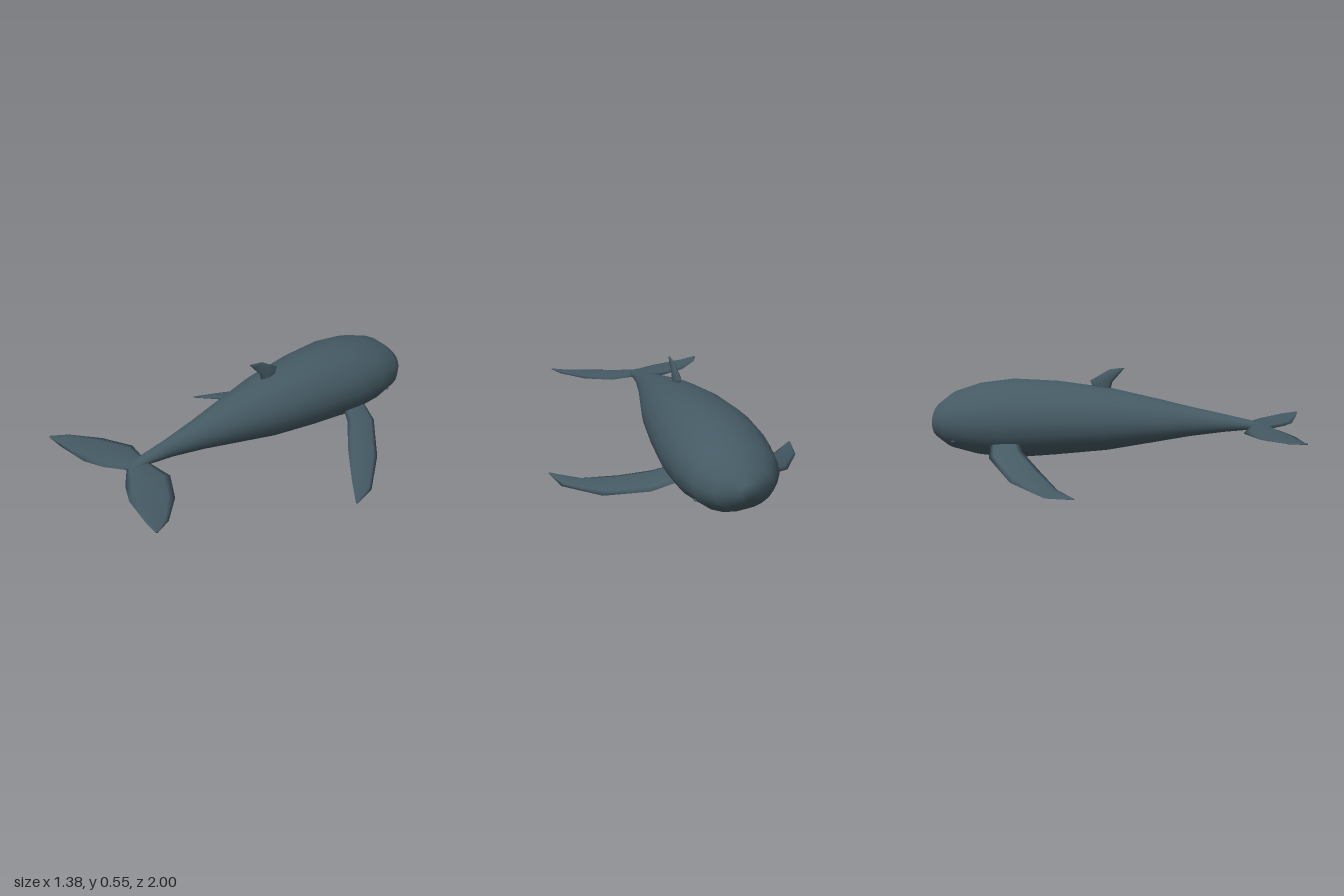
import * as THREE from 'three';

const skin = new THREE.MeshStandardMaterial({ color: 0x455a64 });
skin.name = 'slate skin';

// Skin a list of equal-length closed rings and cap both ends
function loft(rings) {
  const n = rings[0].length, pts = rings.flat(), index = [];
  for (let i = 0; i < rings.length - 1; i++) {
    for (let j = 0; j < n; j++) {
      const k = (j + 1) % n;
      const a = i * n + j, b = i * n + k, c = b + n, d = a + n;
      index.push(a, b, c, a, c, d);
    }
  }
  const last = (rings.length - 1) * n;
  for (let j = 1; j < n - 1; j++) {
    index.push(0, j + 1, j, last, last + j, last + j + 1);
  }
  const geometry = new THREE.BufferGeometry().setFromPoints(pts);
  geometry.setIndex(index);
  geometry.computeVertexNormals();
  return geometry;
}

function part(name, geometry) {
  const mesh = new THREE.Mesh(geometry, skin);
  mesh.name = name;
  return mesh;
}

// Fin from sections [leading point, trailing point, half thickness], root to tip
function fin(name, sections, side = 1) {
  const vec = ([x, y, z]) => new THREE.Vector3(x * side, y, z);
  const s = sections.map(([lead, trail, t]) => {
    const a = vec(lead), b = vec(trail);
    return { mid: a.clone().add(b).multiplyScalar(0.5), half: b.clone().sub(a).multiplyScalar(0.5), t };
  });
  const rings = s.map(({ mid, half, t }, i) => {
    const span = s[Math.min(i + 1, s.length - 1)].mid.clone().sub(s[Math.max(i - 1, 0)].mid);
    const normal = span.cross(half).normalize();
    return Array.from({ length: 8 }, (_, j) => {
      const q = j * Math.PI / 4;
      return mid.clone().addScaledVector(half, Math.cos(q)).addScaledVector(normal, t * Math.sin(q));
    });
  });
  return part(name, loft(rings));
}

export function createModel() {
  const model = new THREE.Group();
  model.name = 'whale';

  // Body stations: z, half width, bottom y, top y
  const stations = [
    [-1, 0.035, 0.215, 0.285], [-0.955, 0.14, 0.15, 0.345], [-0.87, 0.203, 0.098, 0.41],
    [-0.72, 0.235, 0.067, 0.46], [-0.53, 0.242, 0.053, 0.487], [-0.28, 0.22, 0.08, 0.48],
    [0, 0.178, 0.115, 0.449], [0.27, 0.113, 0.17, 0.395], [0.43, 0.075, 0.203, 0.36],
    [0.61, 0.042, 0.232, 0.325], [0.74, 0.033, 0.248, 0.298], [0.81, 0.028, 0.255, 0.28],
  ];
  const rings = stations.map(([z, w, y0, y1]) => Array.from({ length: 20 }, (_, j) => {
    const q = j * Math.PI / 10;
    return new THREE.Vector3(w * Math.cos(q), (y0 + y1) / 2 + (y1 - y0) / 2 * Math.sin(q), z);
  }));
  model.add(part('body', loft(rings)));

  // Back-swept dorsal fin
  model.add(fin('dorsalFin', [
    [[0, 0.43, -0.08], [0, 0.42, 0], 0.017],
    [[0, 0.485, -0.105], [0, 0.48, 0.015], 0.016],
    [[0, 0.547, 0], [0, 0.532, 0.06], 0.009],
    [[0, 0.556, 0.065], [0, 0.554, 0.08], 0.004],
  ]));

  const flipper = [
    [[0.15, 0.165, -0.62], [0.15, 0.18, -0.47], 0.015],
    [[0.30, 0.105, -0.575], [0.25, 0.135, -0.41], 0.014],
    [[0.49, 0.032, -0.40], [0.385, 0.072, -0.28], 0.011],
    [[0.65, 0.008, -0.18], [0.545, 0.022, -0.145], 0.008],
    [[0.69, 0.021, -0.035], [0.68, 0.021, -0.03], 0.003],
  ];
  const fluke = [
    [[0, 0.262, 0.735], [0, 0.262, 0.845], 0.016],
    [[0.165, 0.256, 0.71], [0.10, 0.256, 0.915], 0.012],
    [[0.32, 0.257, 0.79], [0.205, 0.255, 0.96], 0.009],
    [[0.445, 0.268, 0.91], [0.39, 0.264, 0.99], 0.006],
    [[0.486, 0.275, 0.993], [0.47, 0.274, 1], 0.003],
  ];
  for (const [label, side] of [['left', 1], ['right', -1]]) {
    model.add(fin(label + 'Flipper', flipper, side));
    model.add(fin(label + 'Fluke', fluke, side));

    // Slim eye fold on the lower side of the head
    const eye = part(label + 'Eye', new THREE.SphereGeometry(1, 10, 6));
    eye.scale.set(0.01, 0.006, 0.016);
    eye.position.set(side * 0.172, 0.16, -0.82);
    model.add(eye);
  }
  return model;
}
